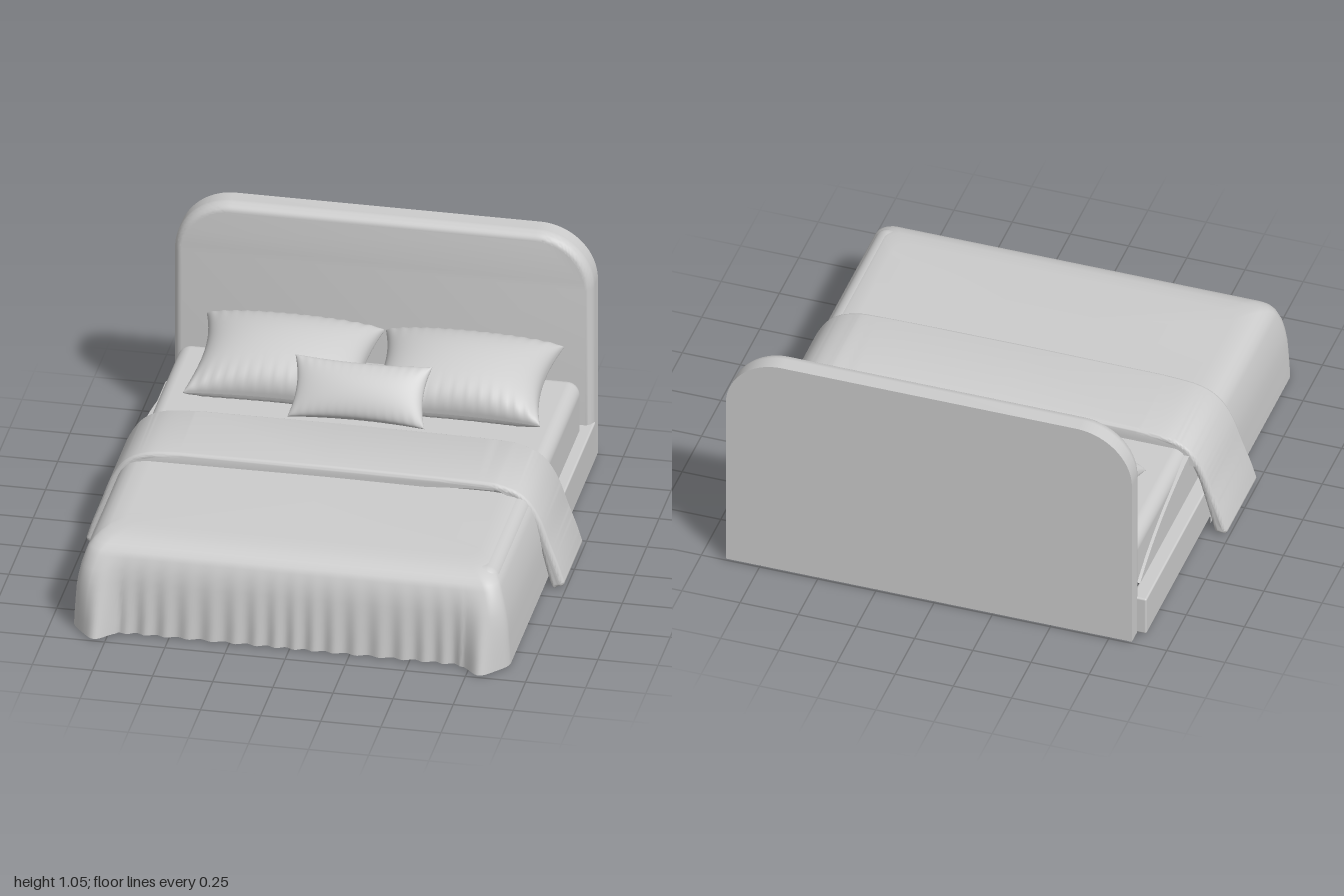
import * as THREE from 'three';
import { RoundedBoxGeometry } from 'three/addons/geometries/RoundedBoxGeometry.js';
import { mergeGeometries, toCreasedNormals } from 'three/addons/utils/BufferGeometryUtils.js';

const fabric = new THREE.MeshStandardMaterial({ color: 0xcccccc, side: THREE.DoubleSide });
fabric.name = 'light grey';

function part(parent, name, geometry, x = 0, y = 0, z = 0) {
  const mesh = new THREE.Mesh(geometry, fabric);
  mesh.name = name;
  mesh.position.set(x, y, z);
  parent.add(mesh);
  return mesh;
}

// Arched panel outline standing on y = 0
function archShape(x0, x1, h, r) {
  const s = new THREE.Shape();
  s.moveTo(x0, 0);
  s.lineTo(x1, 0);
  s.lineTo(x1, h - r);
  s.absarc(x1 - r, h - r, r, 0, Math.PI / 2, false);
  s.lineTo(x0 + r, h);
  s.absarc(x0 + r, h - r, r, Math.PI / 2, Math.PI, false);
  return s;
}

// Mattress cover: upper half of a rounded box, open underneath, base at y = 0
function mattressGeometry(w, h, d, r) {
  const box = new RoundedBoxGeometry(w, 2 * h, d, 8, r);
  const p = box.attributes.position, n = box.attributes.normal;
  const bottom = box.groups[3];
  const pos = [], nor = [];
  for (let i = 0; i < p.count; i++) {
    if (i >= bottom.start && i < bottom.start + bottom.count) continue;
    pos.push(p.getX(i), Math.max(0, p.getY(i)), p.getZ(i));
    nor.push(n.getX(i), n.getY(i), n.getZ(i));
  }
  const g = new THREE.BufferGeometry();
  g.setAttribute('position', new THREE.Float32BufferAttribute(pos, 3));
  g.setAttribute('normal', new THREE.Float32BufferAttribute(nor, 3));
  return g;
}

// Puffed cushion lying flat: two bulged sheets meeting at a seam with drawn-out corners
function pillowGeometry(hw, hd, top, bottom, pinchX, pinchZ) {
  const sheets = [top, -bottom].map((height) => {
    const g = new THREE.PlaneGeometry(2, 2, 64, 40);
    const p = g.attributes.position;
    for (let i = 0; i < p.count; i++) {
      const u = Math.sin(p.getX(i) * Math.PI / 2);
      const v = Math.sin(p.getY(i) * Math.PI / 2);
      const puff = Math.pow(Math.max(0, (1 - u * u) * (1 - v * v)), 0.4);
      const pucker = 1 + 0.09 * Math.sin(u * 45) * Math.pow(Math.abs(v), 6);
      p.setXYZ(i,
        u * hw * (1 - pinchX * (1 - v * v)),
        height * puff * pucker,
        -v * hd * (1 - pinchZ * (1 - u * u)));
    }
    if (height < 0) {
      const a = g.index.array;
      for (let i = 0; i < a.length; i += 3) [a[i], a[i + 1]] = [a[i + 1], a[i]];
    }
    g.computeVertexNormals();
    return g;
  });
  return mergeGeometries(sheets);
}

// Duvet: U-shaped rings from the floor up, closing on the middle line
function duvetGeometry() {
  const levels = [ // side inset, front inset, height
    [0, 0, 0], [0.003, 0, 0.06], [0.007, 0, 0.12], [0.011, 0.002, 0.18],
    [0.019, 0.005, 0.23], [0.03, 0.011, 0.28], [0.046, 0.026, 0.33],
    [0.057, 0.04, 0.352], [0.073, 0.06, 0.371], [0.096, 0.09, 0.388],
    [0.125, 0.13, 0.399], [0.18, 0.2, 0.405], [0.18, 0.2, 0.41],
  ];
  const back = -0.15, nSide = 24, nArc = 14, nFront = 150, r = 0.06;
  const ring = (a, f) => {
    const right = [], pts = [];
    for (let i = 0; i < nArc; i++) {
      const t = (i / nArc) * Math.PI / 2;
      right.push([a - r + r * Math.sin(t), f - r + r * Math.cos(t)]);
    }
    for (let i = 0; i <= nSide; i++) right.push([a, f - r + (back - f + r) * i / nSide]);
    for (const [x, z] of [...right].reverse()) pts.push([-x, z]);
    for (let i = 1; i < nFront; i++) pts.push([(a - r) * (2 * i / nFront - 1), f]);
    return pts.concat(right);
  };
  const pos = [], idx = [];
  let n = 0;
  levels.forEach(([dx, dz, y], j) => {
    const pts = ring(0.908 - dx, 0.92 - dz);
    n = pts.length;
    const loose = Math.max(0, 1 - y / 0.33);
    pts.forEach(([x, z], i) => {
      const ax = Math.abs(x);
      if (z > 0.85) { // corner folds and hanging ripples
        z += 0.078 * loose * Math.exp(-Math.pow((ax - 0.8) / 0.06, 2));
        if (ax < 0.72) z += 0.008 * loose * Math.sin(x * 72 + Math.sin(x * 9));
      }
      const closing = j === levels.length - 1;
      pos.push(closing ? 0 : x + 0.004, y, closing ? Math.min(z, 0.4) : z);
      if (j && i) {
        const c = j * n + i, b = c - n;
        idx.push(b - 1, b, c, b - 1, c, c - 1);
      }
    });
  });
  const g = new THREE.BufferGeometry();
  g.setAttribute('position', new THREE.Float32BufferAttribute(pos, 3));
  g.setIndex(idx);
  g.computeVertexNormals();
  return g;
}

// Throw: thick band section bent over the bed, extruded along z
function throwGeometry() {
  const outer = [[0.6, 0.451], [0.74, 0.438], [0.83, 0.395], [0.89, 0.31], [0.935, 0.19], [0.972, 0.09], [0.994, 0.02]];
  const inner = [[0.94, 0.005], [0.895, 0.17], [0.86, 0.28], [0.795, 0.385], [0.7, 0.408]];
  const vec = (list, s) => list.map(([x, y]) => new THREE.Vector2(s * x, y));
  const shape = new THREE.Shape();
  shape.moveTo(0, 0.455);
  shape.splineThru(vec(outer, 1));
  shape.quadraticCurveTo(0.992, 0.002, 0.97, 0.002);
  shape.splineThru(vec(inner, 1));
  shape.lineTo(-0.7, 0.408);
  shape.splineThru(vec([...inner].reverse().slice(1), -1));
  shape.lineTo(-0.97, 0.002);
  shape.quadraticCurveTo(-0.992, 0.002, -0.994, 0.02);
  shape.splineThru(vec([...outer].reverse().slice(1), -1));
  shape.closePath();
  const b = 0.018;
  const g = new THREE.ExtrudeGeometry(shape, {
    depth: 0.395 - 2 * b, bevelThickness: b, bevelSize: b, bevelOffset: -b, bevelSegments: 5, curveSegments: 8,
  });
  return toCreasedNormals(g, 0.9);
}

export function createModel() {
  const bed = new THREE.Group();
  bed.name = 'bed';

  // Headboard: flat back plate with a padded, soft-edged front
  const headboard = new THREE.Group();
  headboard.name = 'headboard';
  bed.add(headboard);
  const arch = archShape(-0.85, 0.895, 1.04, 0.24);
  const plate = new THREE.ExtrudeGeometry(arch, { depth: 0.06, bevelEnabled: false, curveSegments: 20 });
  part(headboard, 'headboardBack', toCreasedNormals(plate, 0.6), 0, 0, -1);
  const pad = new THREE.ExtrudeGeometry(arch, {
    depth: 0.001, bevelThickness: 0.05, bevelSize: 0.035, bevelOffset: -0.035, bevelSegments: 8, curveSegments: 20,
  });
  part(headboard, 'headboardPad', toCreasedNormals(pad, 0.6), 0, 0, -0.941);

  // Base frame: side and foot rails, tucked inside the duvet at the foot
  const frame = new THREE.Group();
  frame.name = 'baseFrame';
  bed.add(frame);
  for (const [side, name] of [[-1, 'rightRail'], [1, 'leftRail']]) {
    part(frame, name, new RoundedBoxGeometry(0.065, 0.178, 1.79, 3, 0.008), 0.004 + side * 0.862, 0.09, -0.04);
  }
  part(frame, 'footRail', new RoundedBoxGeometry(1.7, 0.178, 0.065, 3, 0.008), 0.004, 0.09, 0.85);

  // Bedding: the hollow mattress rests on the rails
  part(bed, 'mattress', mattressGeometry(1.67, 0.215, 1.73, 0.055), 0.016, 0.18, -0.025);
  part(bed, 'duvet', duvetGeometry());
  part(bed, 'throwBlanket', throwGeometry(), 0, 0, -0.192);

  // Loose sheet hanging over the right side of the mattress
  const fold = new THREE.Shape();
  fold.moveTo(-0.84, 0.18);
  fold.lineTo(-0.1, 0.18);
  fold.lineTo(-0.1, 0.38);
  fold.lineTo(-0.22, 0.37);
  fold.quadraticCurveTo(-0.6, 0.33, -0.84, 0.18);
  const sheet = part(bed, 'sheetFold',
    new THREE.ExtrudeGeometry(fold, { depth: 0.02, bevelEnabled: false, curveSegments: 16 }), -0.812, 0, 0);
  sheet.rotation.y = -Math.PI / 2;

  // Pillows
  for (const [x, name] of [[-0.34, 'rightPillow'], [0.405, 'leftPillow']]) {
    const p = part(bed, name, pillowGeometry(0.37, 0.25, 0.15, 0.1, 0.11, 0.08), x, 0.472, -0.65);
    p.rotation.x = 0.23;
  }
  const small = part(bed, 'smallCushion', pillowGeometry(0.285, 0.13, 0.065, 0.06, 0.08, 0.1), 0.025, 0.495, -0.41);
  small.rotation.x = 0.87;

  return bed;
}
